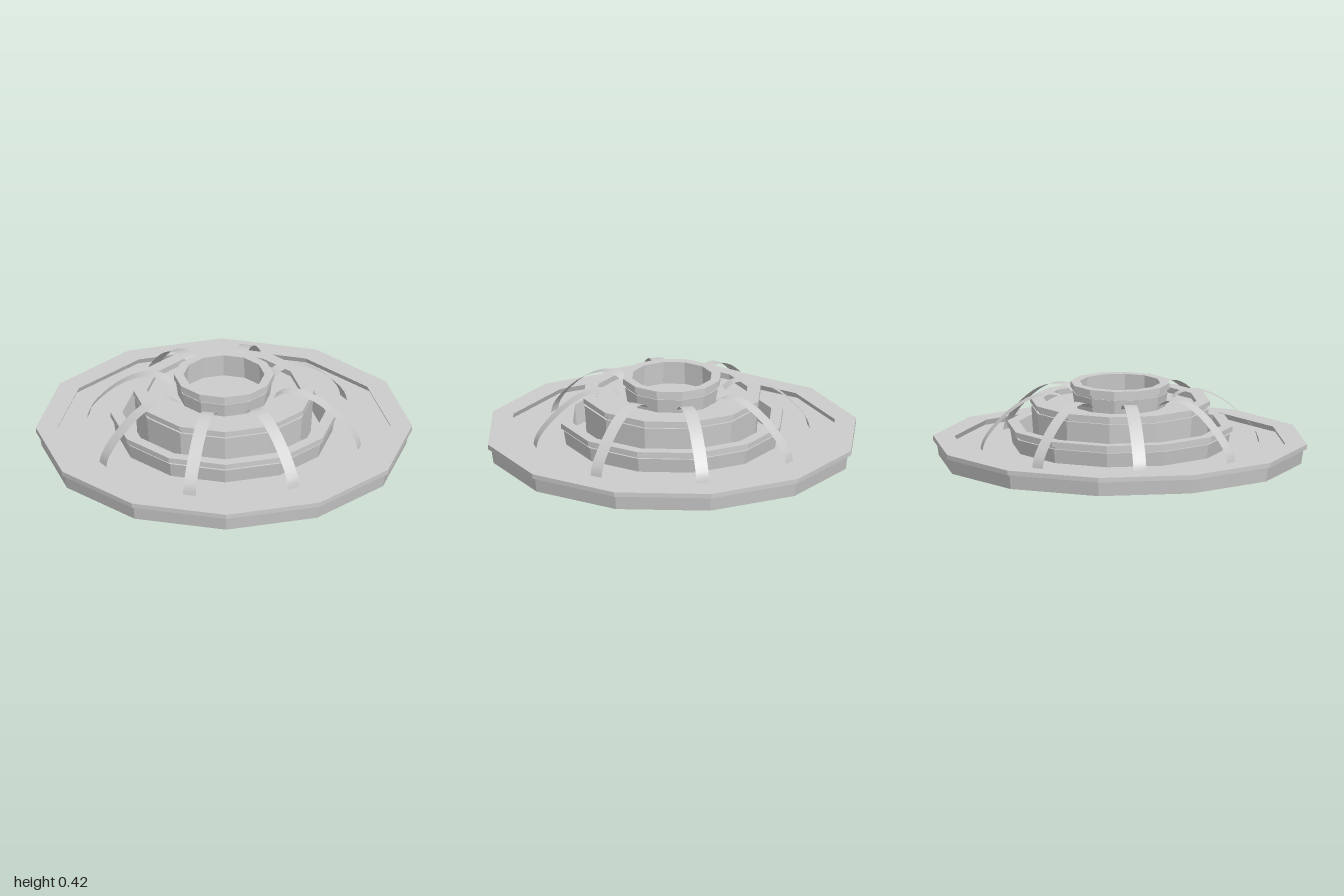
import * as THREE from 'three';

const SIDES = 12;

// Faceted surface turned from [radius, height] pairs
function turned(name, profile) {
  const points = profile.map(([r, y]) => new THREE.Vector2(r, y));
  const geometry = new THREE.LatheGeometry(points, SIDES).toNonIndexed();
  geometry.computeVertexNormals();
  const material = new THREE.MeshStandardMaterial({
    color: 0xcccccc, flatShading: true, side: THREE.DoubleSide,
  });
  const mesh = new THREE.Mesh(geometry, material);
  mesh.name = name;
  return mesh;
}

// Thin arched strap facing +z, its outer part bent sideways by sway
function strapGeometry(width, steps, sway) {
  const curve = new THREE.CatmullRomCurve3([
    [0.75, 0.04], [0.727, 0.13], [0.61, 0.265], [0.5, 0.34],
    [0.41, 0.368], [0.33, 0.362], [0.28, 0.33],
  ].map(([r, y]) => new THREE.Vector3(sway * Math.min(1, (r - 0.28) / 0.15), y, r)));
  const geometry = new THREE.PlaneGeometry(width, 1, 1, steps);
  const pos = geometry.attributes.position;
  for (let i = 0; i < pos.count; i++) {
    const p = curve.getPoint(pos.getY(i) + 0.5);
    pos.setXYZ(i, pos.getX(i) + p.x, p.y, p.z);
  }
  geometry.computeVertexNormals();
  return geometry;
}

export function createModel() {
  const group = new THREE.Group();

  // Wide base ring with an overhanging lip and an undercut inner wall
  group.add(turned('baseRing', [
    [0.93, 0], [0.97, 0], [0.982, 0.08], [1, 0.08], [1, 0.105],
    [0.885, 0.105], [0.93, 0],
  ]));

  // Flat floor across the base ring
  group.add(turned('baseFloor', [[0.898, 0.075], [0, 0.075]]));

  // Middle ring, standing through the floor
  group.add(turned('middleRing', [
    [0.53, 0.03], [0.568, 0.03], [0.588, 0.152], [0.575, 0.152], [0.575, 0.167],
    [0.603, 0.167], [0.603, 0.195], [0.54, 0.195], [0.53, 0.03],
  ]));

  // Upper ring, standing through the floor
  group.add(turned('upperRing', [
    [0.44, 0.03], [0.458, 0.03], [0.475, 0.285], [0.463, 0.285], [0.463, 0.302],
    [0.482, 0.302], [0.482, 0.327], [0.41, 0.327], [0.44, 0.03],
  ]));

  // Floor closing the upper ring
  group.add(turned('upperFloor', [[0.414, 0.295], [0, 0.295]]));

  // Open collar on top
  group.add(turned('collar', [
    [0.225, 0.285], [0.242, 0.285], [0.255, 0.37], [0.25, 0.37], [0.25, 0.388],
    [0.265, 0.388], [0.265, 0.42], [0.215, 0.42], [0.225, 0.285],
  ]));

  // Arched straps spaced evenly around the rings
  const material = new THREE.MeshStandardMaterial({ color: 0xcccccc, side: THREE.DoubleSide });
  const sways = [-1, 0, 1, 0, 1, 0, -1, 0];
  sways.forEach((sway, i) => {
    const strap = new THREE.Mesh(strapGeometry(0.07, 24, sway * 0.008), material);
    strap.name = 'archedStrap' + (i + 1);
    strap.rotation.y = (i / sways.length) * Math.PI * 2;
    group.add(strap);
  });
  return group;
}
